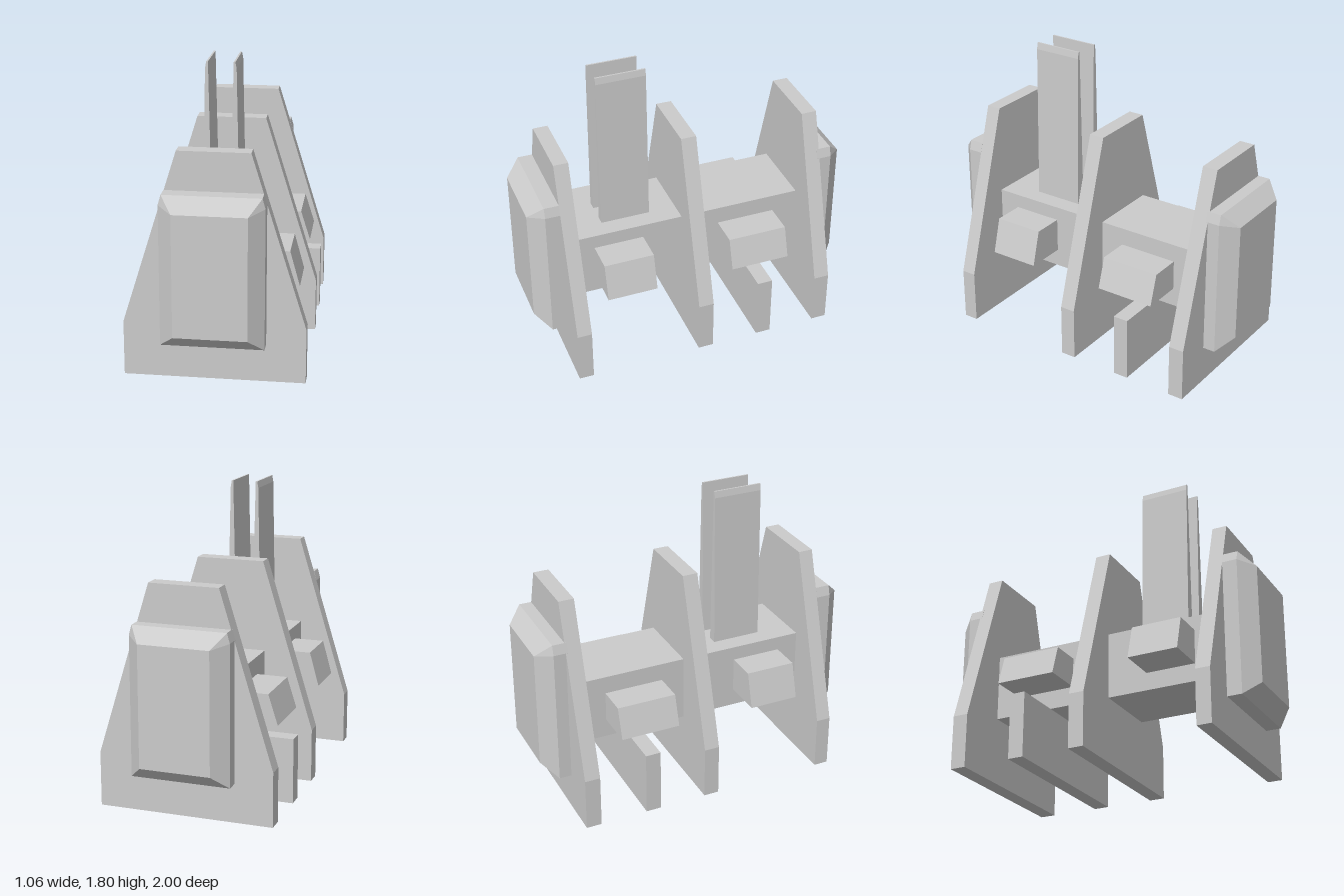
import * as THREE from 'three';
import { ConvexGeometry } from 'three/addons/geometries/ConvexGeometry.js';

const material = new THREE.MeshStandardMaterial({ color: 0xcccccc, flatShading: true });

// Extrude an x/y outline between two z positions
function slab(name, outline, z0, z1) {
  const shape = new THREE.Shape(outline.map(([x, y]) => new THREE.Vector2(x, y)));
  const geometry = new THREE.ExtrudeGeometry(shape, { depth: z1 - z0, bevelEnabled: false });
  geometry.translate(0, 0, z0);
  const mesh = new THREE.Mesh(geometry, material);
  mesh.name = name;
  return mesh;
}

function box(name, x0, x1, y0, y1, z0, z1) {
  const mesh = new THREE.Mesh(new THREE.BoxGeometry(x1 - x0, y1 - y0, z1 - z0), material);
  mesh.position.set((x0 + x1) / 2, (y0 + y1) / 2, (z0 + z1) / 2);
  mesh.name = name;
  return mesh;
}

// Chamfered end block, with upper corners trimmed to the plate's slope
function endBlock(name, dir) {
  const points = [];
  for (const s of [-1, 1]) {
    for (const z of [0.82, 0.91]) {
      for (const [x, y] of [[0.3, 0.235], [0.3, 1.075], [0.283, 1.135]])
        points.push(new THREE.Vector3(s * x, y, dir * z));
    }
    for (const y of [0.32, 1.05]) points.push(new THREE.Vector3(s * 0.213, y, dir));
  }
  const mesh = new THREE.Mesh(new ConvexGeometry(points), material);
  mesh.name = name;
  return mesh;
}

export function createModel() {
  const model = new THREE.Group();
  model.name = 'model';

  // Three tall tapered plates
  const plate = [[-0.53, 0], [0.53, 0], [0.53, 0.33], [0.21, 1.365], [-0.21, 1.365], [-0.53, 0.33]];
  model.add(
    slab('frontPlate', plate, 0.73, 0.82),
    slab('middlePlate', plate, -0.055, 0.04),
    slab('rearPlate', plate, -0.835, -0.74),
  );

  // Central body and low cross plate below it
  model.add(
    box('body', -0.223, 0.223, 0.4, 0.81, -0.725, 0.73),
    box('lowPlate', -0.53, 0.53, 0, 0.4, -0.445, -0.35),
  );

  // End blocks
  model.add(endBlock('frontBlock', 1), endBlock('rearBlock', -1));

  for (const s of [1, -1]) {
    const side = s > 0 ? 'left' : 'right';
    const mirror = (points) => points.map(([x, y]) => [s * x, y]);

    // Side pods with sloping outer faces
    const pod = (y0, y1) => mirror([[0.2, y0], [0.472, y0], [0.413, y1], [0.2, y1]]);
    model.add(
      slab(side + 'FrontPod', pod(0.51, 0.723), 0.29, 0.6),
      slab(side + 'RearPod', pod(0.515, 0.7), -0.57, -0.2),
    );

    // Tall thin fin with a chamfered tip
    const fin = mirror([[0.052, 0.8], [0.11, 0.8], [0.09, 1.765], [0.083, 1.805], [0.073, 1.805]]);
    model.add(slab(side + 'Fin', fin, 0.21, 0.515));
  }
  return model;
}
